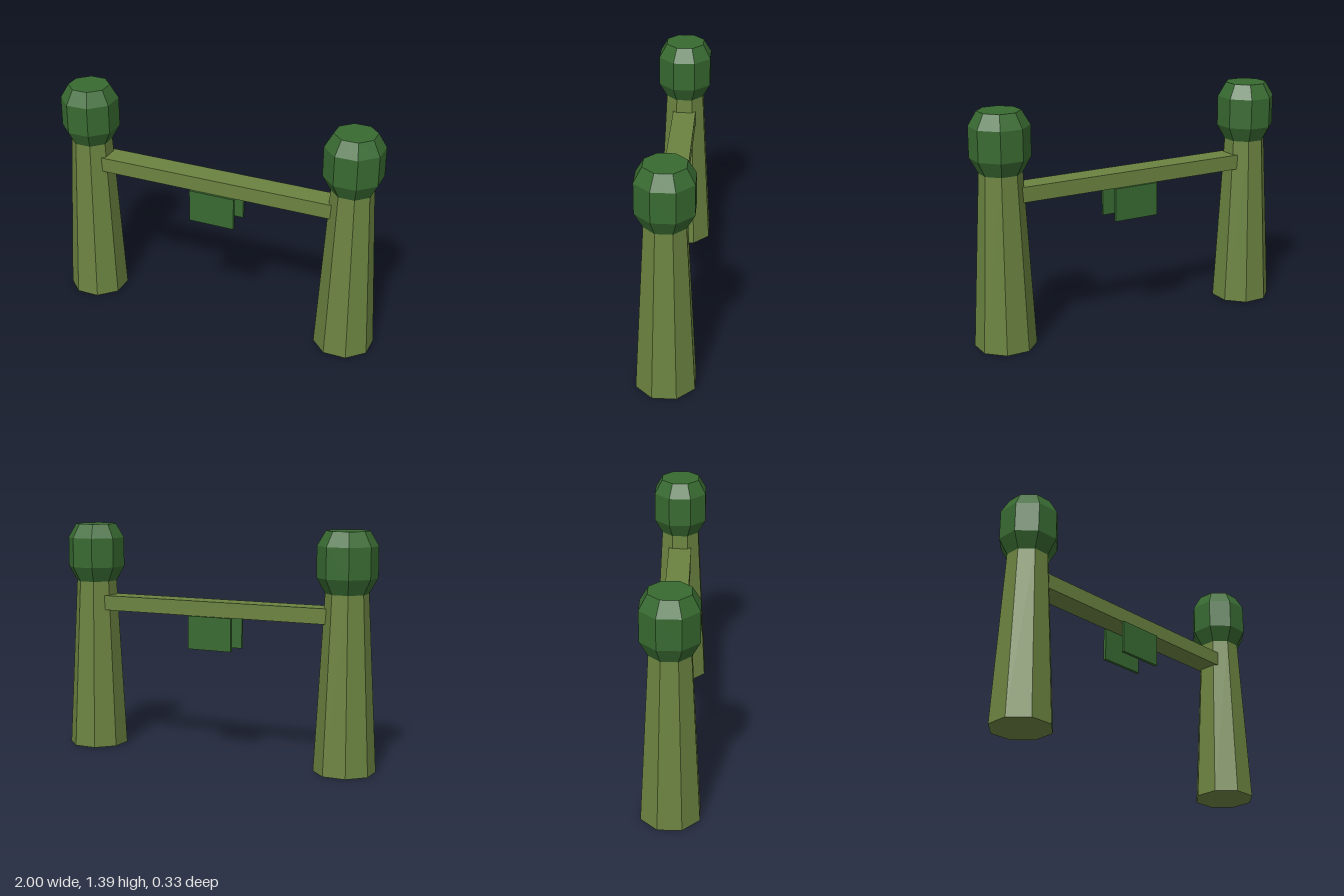
import * as THREE from 'three';

export function createModel() {
  const group = new THREE.Group();
  const olive = new THREE.MeshStandardMaterial({ name: 'olive', color: 0x6b8340, flatShading: true });
  const leafGreen = new THREE.MeshStandardMaterial({ name: 'leaf green', color: 0x386a31, flatShading: true });

  const add = (name, geometry, material, x, y, z) => {
    const mesh = new THREE.Mesh(geometry, material);
    mesh.name = name;
    mesh.position.set(x, y, z);
    group.add(mesh);
  };

  // Octagons are sized by their flat-to-flat half width and turned flat side forward
  const corner = (halfWidth) => halfWidth / Math.cos(Math.PI / 8);

  const postGeometry = new THREE.CylinderGeometry(corner(0.115), corner(0.167), 1.04, 8).rotateY(Math.PI / 8);
  const capProfile = [[0, 1.035], [0.115, 1.035], [0.161, 1.125], [0.161, 1.305], [0.115, 1.39], [0, 1.39]]
    .map(([w, y]) => new THREE.Vector2(corner(w), y));
  const capGeometry = new THREE.LatheGeometry(capProfile, 8).rotateY(Math.PI / 8);

  // Two tapered posts with faceted caps
  for (const [side, s] of [['left', 1], ['right', -1]]) {
    add(side + 'Post', postGeometry, olive, s * 0.833, 0.52, 0);
    add(side + 'Cap', capGeometry, leafGreen, s * 0.833, 0, 0);
  }

  // Crossbeam, running into both posts
  add('crossbeam', new THREE.BoxGeometry(1.6, 0.09, 0.144), olive, 0, 0.905, 0);

  // Hanging sign panels, front and back
  const signGeometry = new THREE.BoxGeometry(0.284, 0.2, 0.018);
  add('frontSign', signGeometry, leafGreen, 0, 0.76, 0.077);
  add('backSign', signGeometry, leafGreen, 0, 0.76, -0.077);

  return group;
}
